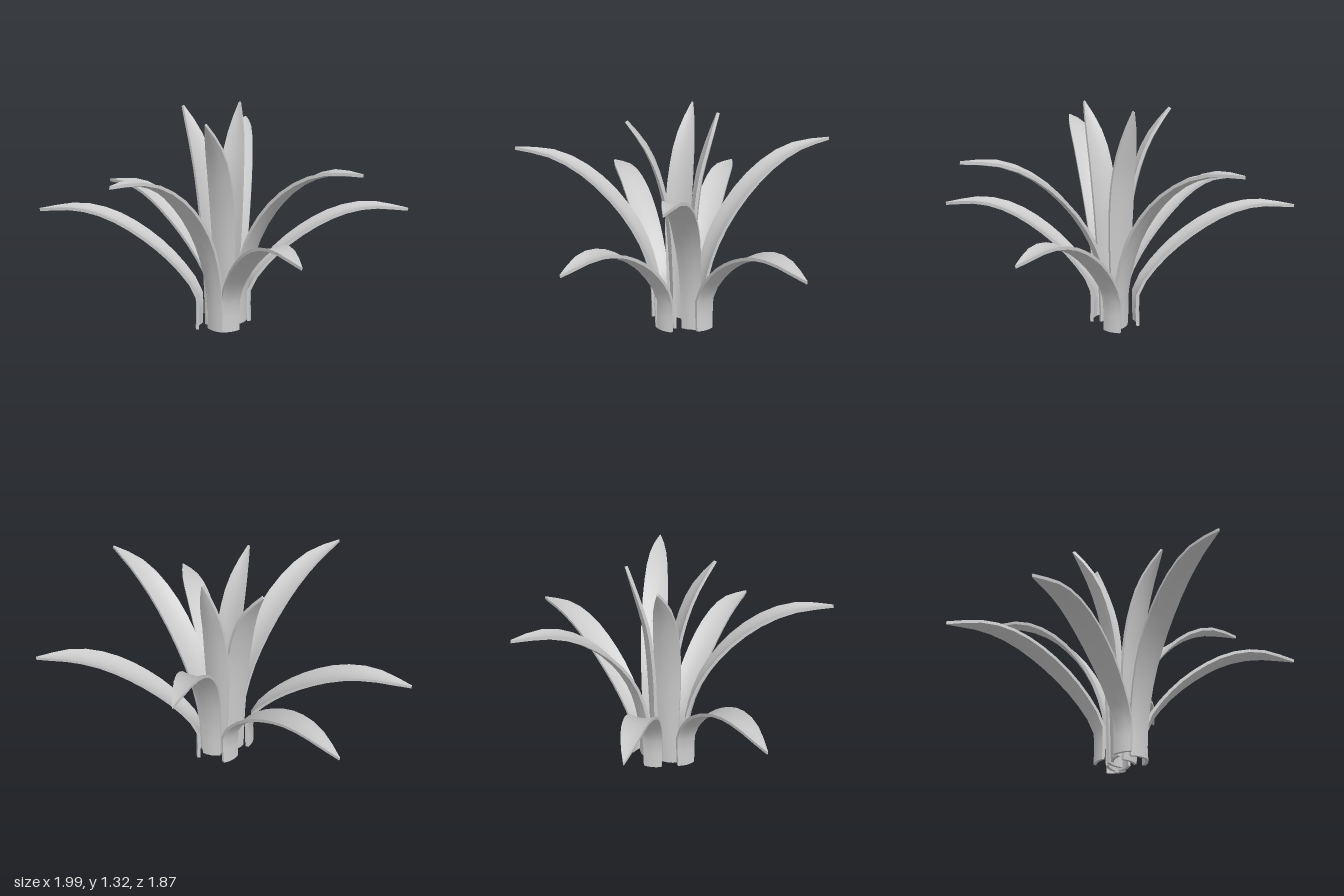
import * as THREE from 'three';
import { toCreasedNormals } from 'three/addons/utils/BufferGeometryUtils.js';

// Leaf midlines as [distance outward, height]
const LOW = [[0, 0], [0, 0.2], [0.05, 0.29], [0.2, 0.45], [0.4, 0.59], [0.58, 0.67], [0.76, 0.7], [1, 0.675]];
const MID = [[0, 0], [0.01, 0.22], [0.06, 0.42], [0.13, 0.57], [0.24, 0.72], [0.4, 0.87], [0.58, 0.98], [0.76, 1.04], [1, 1.06]];
const INNER = [[0, 0], [0.03, 0.35], [0.12, 0.7], [0.36, 0.98], [0.62, 1.14], [1, 1.29]];
const UPRIGHT = [[0, 0], [0.05, 0.4], [0.15, 0.7], [0.32, 0.93], [0.65, 1.13], [1, 1.32]];

// Half width along the leaf
const WIDTHS = [0.055, 0.058, 0.063, 0.07, 0.077, 0.079, 0.076, 0.066, 0.045, 0.003];
const THICK = 0.018;
const CUP = 0.016;
const COLS = 5;
const STEPS = 14;

function halfWidth(t) {
  const f = t * (WIDTHS.length - 1);
  const i = Math.min(Math.floor(f), WIDTHS.length - 2);
  return THREE.MathUtils.lerp(WIDTHS[i], WIDTHS[i + 1], f - i);
}

// A thick, slightly cupped blade swept along its midline
function leafGeometry(profile, reach) {
  const curve = new THREE.CatmullRomCurve3(profile.map(([r, y]) => new THREE.Vector3(r * reach, y, 0)), false, 'centripetal');
  const pos = [], idx = [], ring = COLS * 2;
  for (let i = 0; i <= STEPS; i++) {
    const t = i / STEPS;
    const p = curve.getPointAt(t);
    const tan = i === 0 ? new THREE.Vector3(0, 1, 0) : curve.getTangentAt(t);
    const w = halfWidth(t);
    for (let k = 0; k < ring; k++) {
      const top = k < COLS;
      const u = ((top ? k : ring - 1 - k) / (COLS - 1)) * 2 - 1;
      const lift = CUP * (w / 0.075) * (u * u - 0.4) + (top ? THICK : -THICK) / 2;
      pos.push(p.x - tan.y * lift, p.y + tan.x * lift, u * w);
    }
  }
  for (let i = 0; i < STEPS; i++) {
    for (let k = 0; k < ring; k++) {
      const a = i * ring + k, b = i * ring + (k + 1) % ring;
      idx.push(a, b, a + ring, b, b + ring, a + ring);
    }
  }
  // Root and tip caps
  const end = STEPS * ring;
  for (let k = 0; k < COLS - 1; k++) {
    const a = k, b = k + 1, c = ring - 1 - k, d = ring - 2 - k;
    idx.push(a, c, b, b, c, d);
    idx.push(end + a, end + b, end + c, end + b, end + d, end + c);
  }
  const geo = new THREE.BufferGeometry();
  geo.setAttribute('position', new THREE.Float32BufferAttribute(pos, 3));
  geo.setIndex(idx);
  return toCreasedNormals(geo, 0.7);
}

// Each leaf: midline, root x z, tip x z
const LEAVES = {
  lowLeaf: [LOW, [
    [0.155, -0.165, 0.99, -0.62], [0.145, 0.08, 0.82, 0.67],
    [-0.065, 0.09, -1, 0.33], [-0.05, -0.115, -0.95, -0.435]]],
  middleLeaf: [MID, [
    [0.14, -0.08, 0.955, 0.13], [0.055, 0.11, -0.17, 0.93], [0.075, -0.14, -0.22, -0.935]]],
  innerLeaf: [INNER, [
    [0.075, 0.02, 0.08, 0.285], [-0.02, -0.01, -0.265, -0.12]]],
  uprightLeaf: [UPRIGHT, [[0.055, -0.09, 0.053, -0.24]]],
};

export function createModel() {
  const plant = new THREE.Group();
  plant.name = 'plant';
  const material = new THREE.MeshStandardMaterial({ color: 0xcccccc });
  for (const [name, [profile, list]] of Object.entries(LEAVES)) {
    list.forEach(([x, z, tx, tz], i) => {
      const leaf = new THREE.Mesh(leafGeometry(profile, Math.hypot(tx - x, tz - z)), material);
      leaf.name = name + (i + 1);
      leaf.position.set(x, 0, z);
      leaf.rotation.y = Math.atan2(z - tz, tx - x);
      plant.add(leaf);
    });
  }
  return plant;
}
